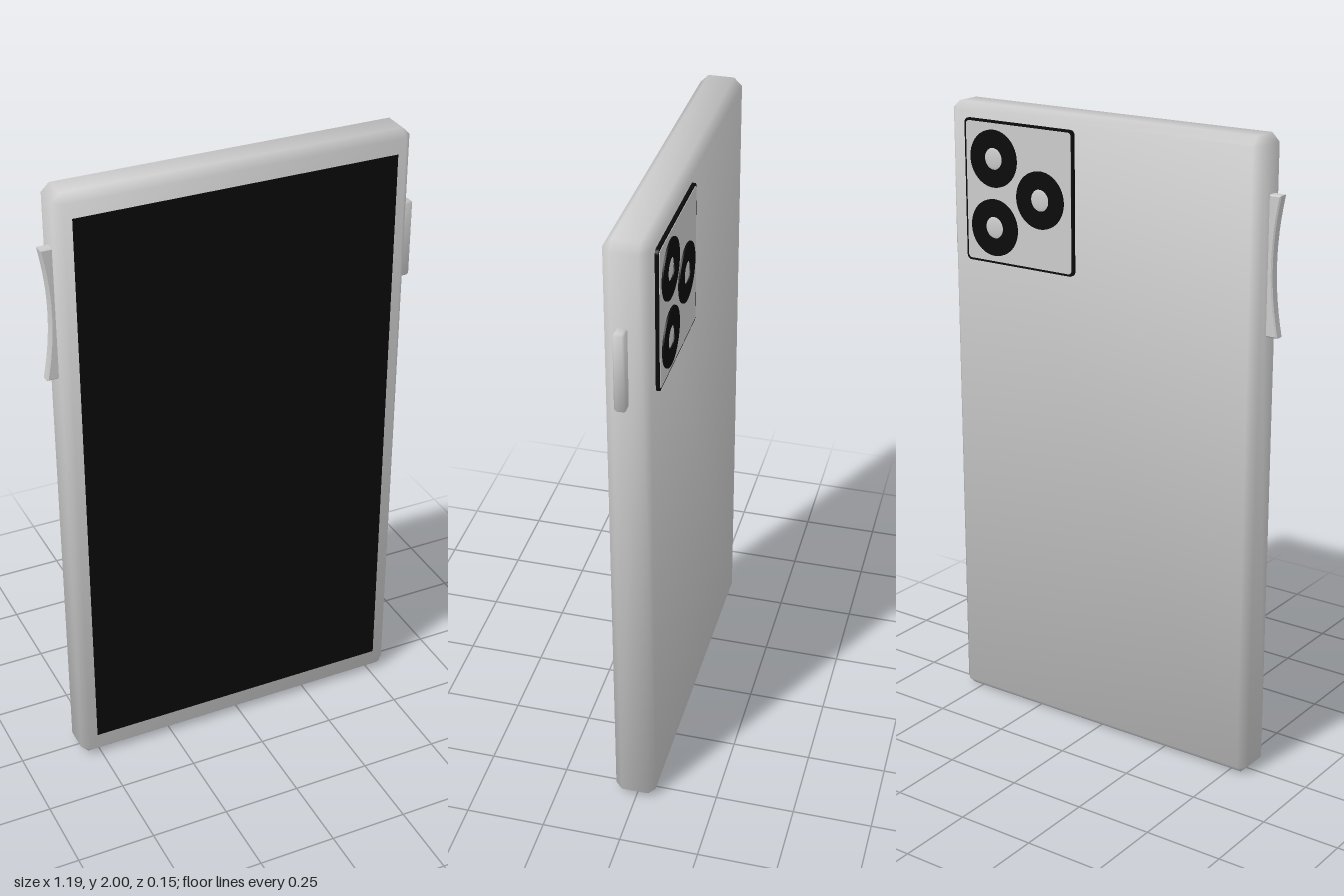
import * as THREE from 'three';
import { ConvexGeometry } from 'three/addons/geometries/ConvexGeometry.js';
import { mergeVertices } from 'three/addons/utils/BufferGeometryUtils.js';

const grey = new THREE.MeshStandardMaterial({ color: 0xcccccc });
const black = new THREE.MeshStandardMaterial({ color: 0x0a0a0a });

function add(group, name, geometry, material, x = 0, y = 0, z = 0) {
  const mesh = new THREE.Mesh(geometry, material);
  mesh.name = name;
  mesh.position.set(x, y, z);
  group.add(mesh);
  return mesh;
}

// Box with a single chamfer on every edge, softly shaded across the chamfers
function chamferBox(w, h, d, bevel) {
  const half = [w / 2, h / 2, d / 2];
  const points = [];
  for (const sx of [-1, 1]) for (const sy of [-1, 1]) for (const sz of [-1, 1]) {
    const s = [sx, sy, sz];
    for (let axis = 0; axis < 3; axis++) {
      points.push(new THREE.Vector3(...s.map((v, i) => v * (half[i] - (i === axis ? 0 : bevel)))));
    }
  }
  let geo = new ConvexGeometry(points);
  geo.deleteAttribute('normal');
  geo = mergeVertices(geo, 1e-5);
  geo.computeVertexNormals();
  const pos = geo.attributes.position, normal = geo.attributes.normal;
  for (let i = 0; i < pos.count; i++) {
    const p = [pos.getX(i), pos.getY(i), pos.getZ(i)];
    const n = new THREE.Vector3(...p.map((v, k) =>
      Math.sign(v) * (Math.abs(v) > half[k] - bevel / 2 ? 2.9 : 1.2))).normalize();
    normal.setXYZ(i, n.x, n.y, n.z);
  }
  return geo;
}

// Rounded rectangle plate, depth along z
function roundedPlate(w, h, r, depth) {
  const s = new THREE.Shape();
  const x = w / 2 - r, y = h / 2 - r;
  s.absarc(x, y, r, 0, Math.PI / 2);
  s.absarc(-x, y, r, Math.PI / 2, Math.PI);
  s.absarc(-x, -y, r, Math.PI, Math.PI * 1.5);
  s.absarc(x, -y, r, Math.PI * 1.5, Math.PI * 2);
  return new THREE.ExtrudeGeometry(s, { depth, bevelEnabled: false, curveSegments: 5 });
}

export function createModel() {
  const phone = new THREE.Group();
  phone.name = 'phone';

  // Case and screen
  add(phone, 'case', chamferBox(1.124, 2, 0.13, 0.025), grey, 0, 1, 0.006);
  add(phone, 'screen', new THREE.BoxGeometry(1.024, 1.85, 0.01), black, 0, 1.003, 0.0675);

  // Power button
  add(phone, 'powerButton', chamferBox(0.06, 0.25, 0.034, 0.006), grey, 0.566, 1.622, 0.016);

  // Volume rocker with a concave outer edge
  const rocker = new THREE.Shape();
  rocker.moveTo(-0.55, 1.417);
  rocker.lineTo(-0.55, 1.828);
  rocker.lineTo(-0.594, 1.828);
  rocker.quadraticCurveTo(-0.55, 1.622, -0.594, 1.417);
  rocker.closePath();
  add(phone, 'volumeRocker', new THREE.ExtrudeGeometry(rocker, {
    depth: 0.024, curveSegments: 12, bevelSegments: 1, bevelSize: 0.004, bevelThickness: 0.004,
  }), grey, 0, 0, 0.004);

  // Camera island: dark edge with a grey face
  const camera = new THREE.Group();
  camera.name = 'cameraIsland';
  phone.add(camera);
  add(camera, 'islandEdge', roundedPlate(0.414, 0.446, 0.015, 0.013), black, 0.285, 1.733, -0.069);
  add(camera, 'islandFace', roundedPlate(0.4, 0.432, 0.012, 0.005), grey, 0.285, 1.733, -0.0705);

  // Three lenses: black ring around a shallow dome
  const ring = new THREE.Shape().absarc(0, 0, 0.089, 0, Math.PI * 2);
  ring.holes.push(new THREE.Path().absarc(0, 0, 0.034, 0, Math.PI * 2, true));
  const ringGeo = new THREE.ExtrudeGeometry(ring, { depth: 0.006, bevelEnabled: false, curveSegments: 32 });
  const domeGeo = new THREE.SphereGeometry(0.036, 24, 8, 0, Math.PI * 2, 0, Math.PI / 2);
  domeGeo.rotateX(-Math.PI / 2).scale(1, 1, 0.16);
  for (const [x, y] of [[0.377, 1.84], [0.377, 1.625], [0.2, 1.732]]) {
    add(camera, 'lensRing', ringGeo, black, x, y, -0.0755);
    add(camera, 'lensGlass', domeGeo, grey, x, y, -0.07);
  }

  // Charging port and speaker holes on the bottom edge
  const port = roundedPlate(0.24, 0.036, 0.017, 0.004).rotateX(Math.PI / 2);
  add(phone, 'chargingPort', port, black, 0, 0.003, 0.006);
  const hole = new THREE.CylinderGeometry(0.015, 0.015, 0.004, 16);
  for (const side of [-1, 1]) {
    for (let i = 0; i < 6; i++) {
      add(phone, 'speakerHole', hole, black, side * (0.175 + i * 0.058), 0.001, 0.006);
    }
  }
  return phone;
}
